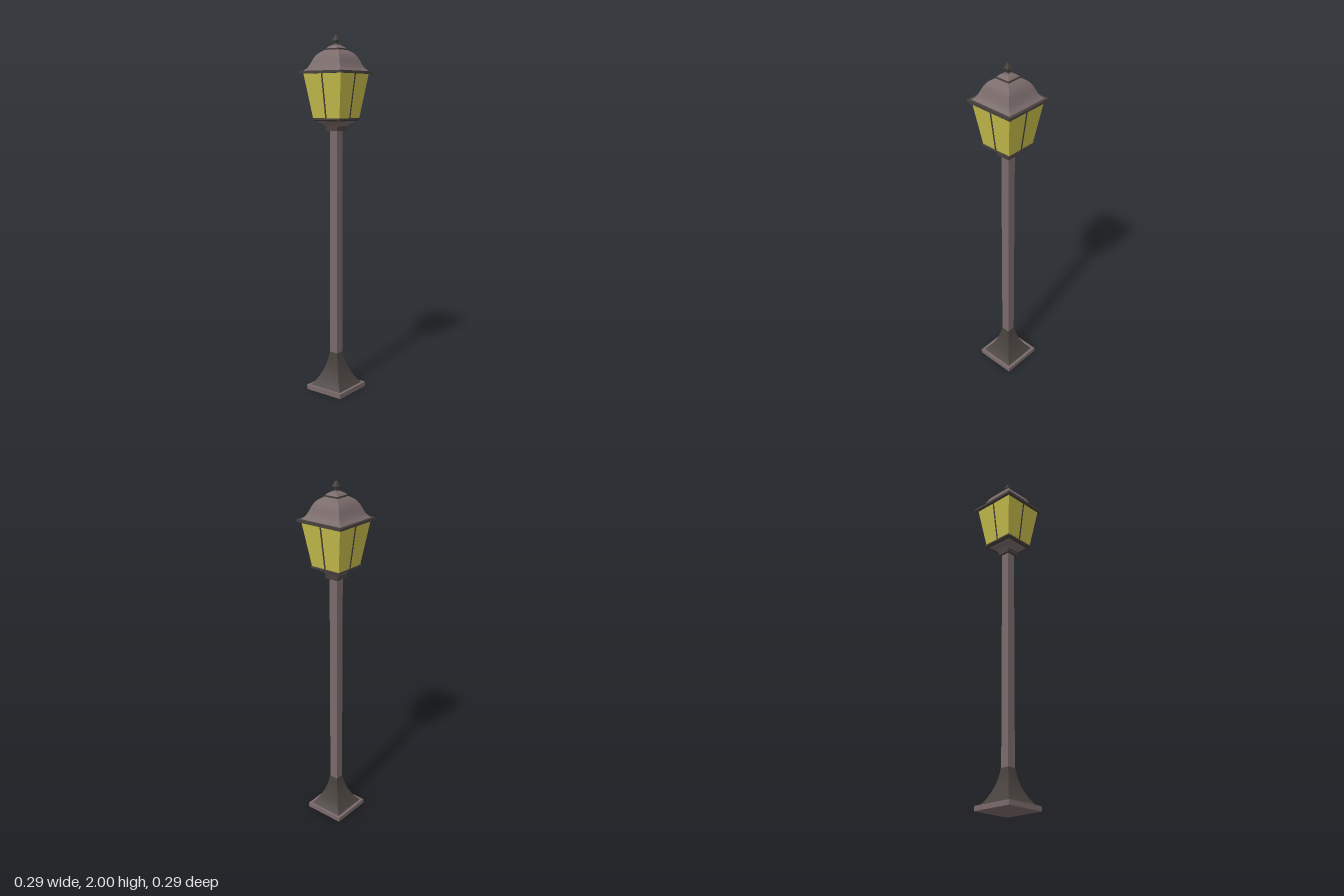
import * as THREE from 'three';
import { toCreasedNormals } from 'three/addons/utils/BufferGeometryUtils.js';

const paint = (color) => new THREE.MeshStandardMaterial({ color });

// Square section swept up a profile of [half width, height], closed at both ends
function squareLoft(name, profile, material) {
  const closed = [[0, profile[0][1]], ...profile, [0, profile[profile.length - 1][1]]];
  const points = closed.map(([w, y]) => new THREE.Vector2(w * Math.SQRT2, y));
  const geometry = new THREE.LatheGeometry(points, 4, Math.PI / 4);
  const mesh = new THREE.Mesh(toCreasedNormals(geometry, 0.6), material);
  mesh.name = name;
  return mesh;
}

// Smooth a few profile points into a curve
const curved = (points, n) =>
  new THREE.SplineCurve(points.map(([w, y]) => new THREE.Vector2(w, y)))
    .getPoints(n).map((p) => [p.x, p.y]);

export function createModel() {
  const lamp = new THREE.Group();
  lamp.name = 'lampPost';
  const metal = paint(0x7a6a6a);
  const dark = paint(0x47413d);
  const glass = paint(0xc8be4c);

  // Foot and post
  lamp.add(squareLoft('basePlate', [[0.12, 0], [0.12, 0.027]], metal));
  lamp.add(squareLoft('flaredFoot', curved(
    [[0.104, 0.027], [0.078, 0.062], [0.052, 0.115], [0.036, 0.165], [0.026, 0.22]], 12), dark));
  lamp.add(squareLoft('post', [[0.025, 0.2], [0.025, 1.5]], metal));

  // Lantern seat
  lamp.add(squareLoft('collar', [[0.04, 1.487], [0.04, 1.515]], dark));
  lamp.add(squareLoft('lanternCup', curved(
    [[0.042, 1.513], [0.05, 1.522], [0.066, 1.531], [0.08, 1.545]], 8), metal));
  lamp.add(squareLoft('lanternTray', [[0.084, 1.541], [0.096, 1.548], [0.096, 1.557]], dark));

  // Glass box with a bar down the middle of each pane
  const low = 0.09, high = 0.127, y0 = 1.555, y1 = 1.798;
  lamp.add(squareLoft('glass', [[low, y0], [high, y1]], glass));
  for (let i = 0; i < 4; i++) {
    const side = new THREE.Group();
    side.name = 'paneBar';
    side.rotation.y = i * Math.PI / 2;
    const bar = new THREE.Mesh(
      new THREE.BoxGeometry(0.008, Math.hypot(high - low, y1 - y0), 0.005), dark);
    bar.name = 'bar';
    bar.position.set(0, (y0 + y1) / 2, (low + high) / 2);
    bar.rotation.x = Math.atan2(high - low, y1 - y0);
    side.add(bar);
    lamp.add(side);
  }

  // Roof
  lamp.add(squareLoft('roofRim', [[0.144, 1.794], [0.144, 1.808]], dark));
  lamp.add(squareLoft('roof', curved(
    [[0.128, 1.808], [0.111, 1.825], [0.098, 1.85], [0.085, 1.88], [0.067, 1.904], [0.04, 1.922]],
    20), metal));
  lamp.add(squareLoft('capEdge', [[0.043, 1.918], [0.043, 1.928]], dark));
  lamp.add(squareLoft('cap', [[0.039, 1.928], [0.03, 1.938], [0.012, 1.948]], metal));
  lamp.add(squareLoft('finial',
    [[0.011, 1.945], [0.007, 1.955], [0.015, 1.97], [0.012, 1.98], [0.005, 1.993], [0.001, 2]], dark));

  return lamp;
}
